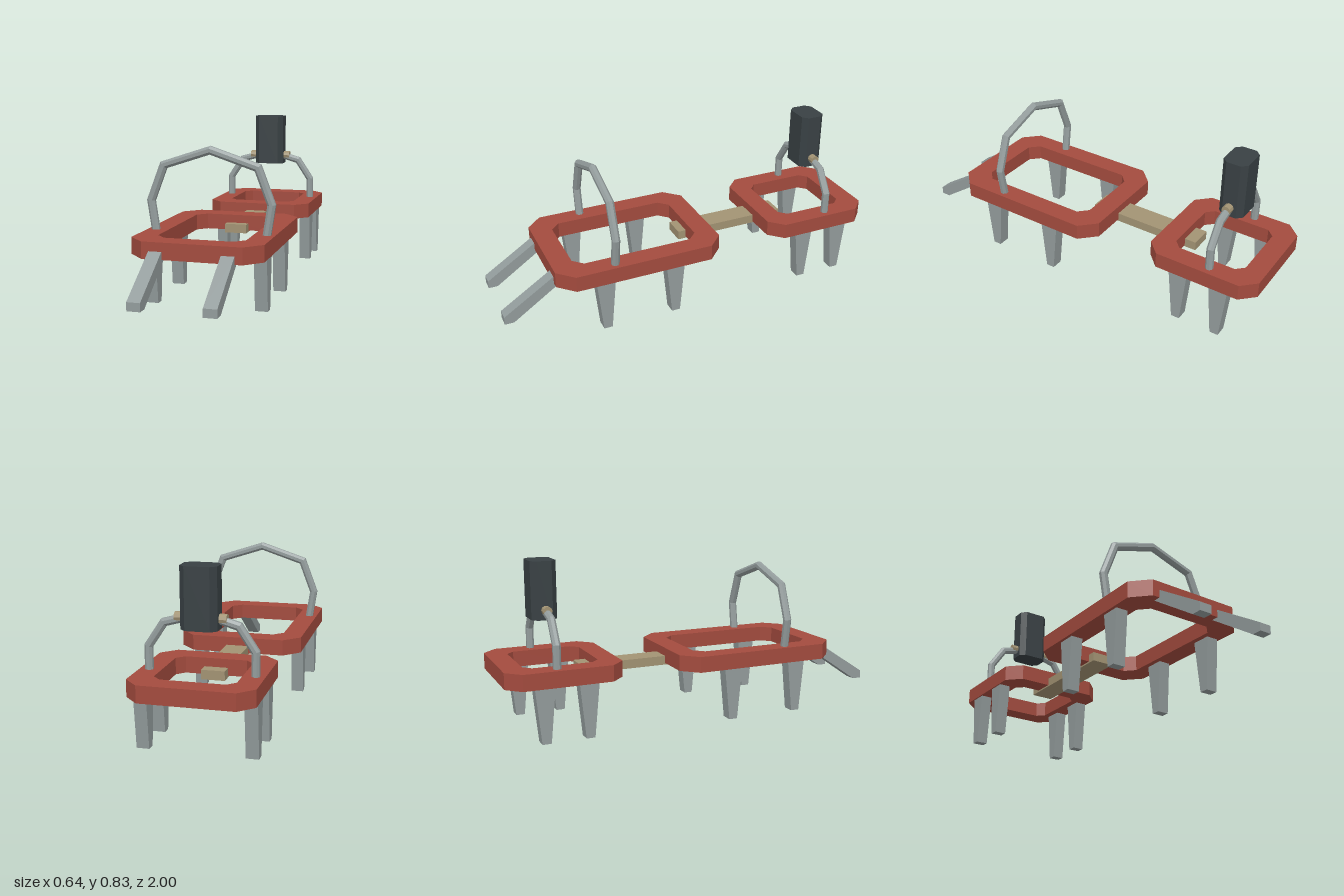
import * as THREE from 'three';

const material = (color) => new THREE.MeshStandardMaterial({ color, flatShading: true });

// Rectangle with cut corners, as a list of points
function cutCorners(hx, hy, c) {
  return [[-hx + c, -hy], [hx - c, -hy], [hx, -hy + c], [hx, hy - c],
    [hx - c, hy], [-hx + c, hy], [-hx, hy - c], [-hx, -hy + c]].map(([x, y]) => new THREE.Vector2(x, y));
}

// Plan outline extruded upwards from y = 0
function extrudeUp(shape, height) {
  return new THREE.ExtrudeGeometry(shape, { depth: height, bevelEnabled: false }).rotateX(-Math.PI / 2);
}

// Side outline given as [z, y], extruded along x between x0 and x1
function extrudeAcross(profile, x0, x1) {
  const shape = new THREE.Shape(profile.map(([z, y]) => new THREE.Vector2(-z, y)));
  return new THREE.ExtrudeGeometry(shape, { depth: x1 - x0, bevelEnabled: false })
    .rotateY(Math.PI / 2).translate(x0, 0, 0);
}

// Pipe in the xy plane with mitred joints
function mitredPipe(path, radius, sides = 8) {
  const pts = path.map(([x, y]) => new THREE.Vector2(x, y));
  const positions = [], index = [];
  pts.forEach((p, i) => {
    const a = pts[Math.max(i - 1, 0)], b = pts[Math.min(i + 1, pts.length - 1)];
    const d0 = (i > 0 ? p.clone().sub(a) : b.clone().sub(p)).normalize();
    const d1 = (i < pts.length - 1 ? b.clone().sub(p) : d0.clone()).normalize();
    const t = d0.clone().add(d1).normalize();
    const stretch = radius / t.dot(d0);
    for (let k = 0; k < sides; k++) {
      const angle = ((k + 0.5) / sides) * Math.PI * 2;
      const u = Math.cos(angle) * stretch;
      positions.push(p.x - t.y * u, p.y + t.x * u, Math.sin(angle) * radius);
      if (i > 0) {
        const n = (k + 1) % sides, lo = (i - 1) * sides, hi = i * sides;
        index.push(lo + k, lo + n, hi + k, lo + n, hi + n, hi + k);
      }
    }
  });
  // Flat end caps
  const last = (pts.length - 1) * sides;
  for (let k = 1; k < sides - 1; k++) index.push(0, k + 1, k, last, last + k, last + k + 1);
  const geometry = new THREE.BufferGeometry();
  geometry.setAttribute('position', new THREE.Float32BufferAttribute(positions, 3));
  geometry.setIndex(index);
  const flat = geometry.toNonIndexed();
  flat.computeVertexNormals();
  return flat;
}

export function createModel() {
  const model = new THREE.Group();
  model.name = 'model';
  const red = material(0xa34b3e), steel = material(0x939c9c);
  const dark = material(0x394144), tan = material(0xa29373);

  const add = (name, geometry, mat, x = 0, y = 0, z = 0) => {
    const mesh = new THREE.Mesh(geometry, mat);
    mesh.name = name;
    mesh.position.set(x, y, z);
    model.add(mesh);
    return mesh;
  };

  // Ring frames
  const frame = (name, hx, hz, cut, innerX, innerZ, innerCut, z) => {
    const shape = new THREE.Shape(cutCorners(hx, hz, cut));
    shape.holes.push(new THREE.Path(cutCorners(innerX, innerZ, innerCut).reverse()));
    add(name, extrudeUp(shape, 0.08), red, 0, 0.266, z);
  };
  frame('frontFrame', 0.317, 0.436, 0.08, 0.213, 0.33, 0.048, 0.307);
  frame('rearFrame', 0.289, 0.288, 0.07, 0.187, 0.186, 0.038, -0.712);

  // Legs tapering along z, and sloping prongs at the front
  const legs = [
    ['frontLeg', 0.51, 0.24, 0.302], ['middleLeg', 0.142, 0.24, 0.302],
    ['rearFrameFrontLeg', -0.612, 0.222, 0.282], ['rearFrameBackLeg', -0.826, 0.222, 0.282],
  ];
  const prong = [[0.7, 0.27], [0.7, 0.303], [0.745, 0.303], [1, 0.138], [1, 0.098], [0.953, 0.098]];
  for (const [side, s] of [['left', 1], ['right', -1]]) {
    const span = (a, b) => (s > 0 ? [a, b] : [-b, -a]);
    for (const [name, z, inner, outer] of legs) {
      const profile = [[-0.022, 0], [0.022, 0], [0.049, 0.272], [-0.049, 0.272]];
      add(`${side}_${name}`, extrudeAcross(profile, ...span(inner, outer)), steel, 0, 0, z);
    }
    add(`${side}_prong`, extrudeAcross(prong, ...span(0.139, 0.202)), steel);

    // Rear support arm with its collar
    let arm = [[0.245, 0.33], [0.245, 0.455], [0.171, 0.566], [0.07, 0.594]];
    if (s < 0) arm = arm.map(([x, y]) => [-x, y]).reverse();
    else arm = arm.slice();
    add(`${side}_supportArm`, mitredPipe(arm, 0.02), steel, 0, 0, -0.757);
    const collar = new THREE.CylinderGeometry(0.023, 0.023, 0.044, 10).rotateZ(Math.PI / 2);
    add(`${side}_collar`, collar, tan, s * 0.097, 0.595, -0.757);
  }

  // Front hoop
  const half = [[0.274, 0.33], [0.298, 0.488], [0.232, 0.66]];
  const hoop = [...half, [0, 0.736], ...half.map(([x, y]) => [-x, y]).reverse()];
  add('frontHoop', mitredPipe(hoop, 0.021), steel, 0, 0, 0.452);

  // Upright block held between the arms
  add('uprightBlock', extrudeUp(new THREE.Shape(cutCorners(0.084, 0.063, 0.027)), 0.283), dark, 0, 0.547, -0.758);

  // Plank linking the two frames
  add('linkPlank', new THREE.BoxGeometry(0.115, 0.046, 0.605), tan, 0, 0.281, -0.283);

  return model;
}
